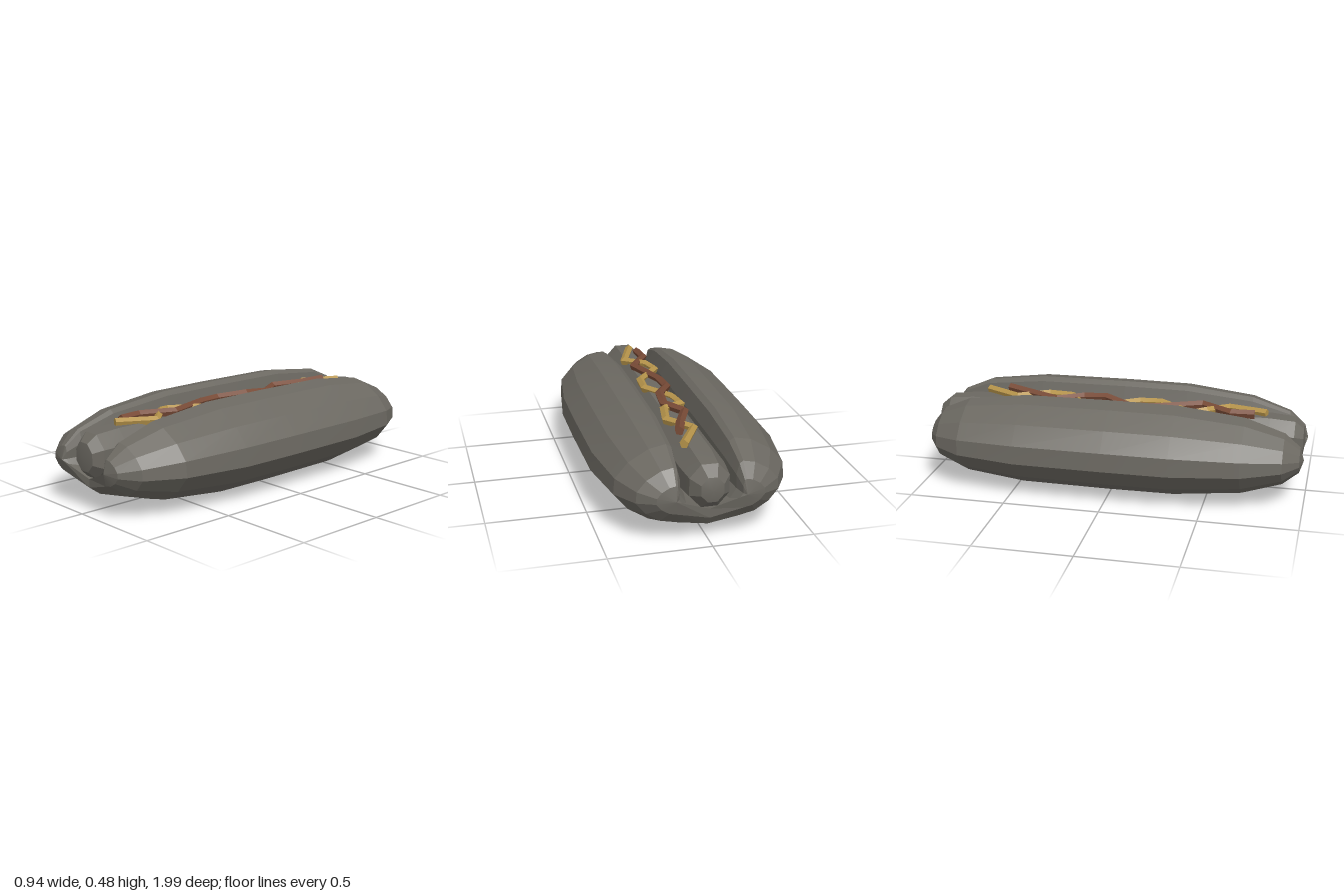
import * as THREE from 'three';
import { toCreasedNormals } from 'three/addons/utils/BufferGeometryUtils.js';

// Skin a list of closed rings (counter-clockwise seen from +z, running towards +z)
function loft(rings, crease) {
  const n = rings[0].length;
  const index = [];
  for (let i = 0; i < rings.length - 1; i++) {
    for (let j = 0; j < n; j++) {
      const a = i * n + j, b = i * n + (j + 1) % n;
      index.push(a, b, a + n, b, b + n, a + n);
    }
  }
  const geo = new THREE.BufferGeometry();
  geo.setAttribute('position', new THREE.Float32BufferAttribute(rings.flat(2), 3));
  geo.setIndex(index);
  return toCreasedNormals(geo, crease);
}

// Bun: one half section, mirrored, shrunk towards each lobe's centre at the ends
function bunGeometry() {
  const half = [
    [0.13, 0.005], [0.27, 0.035], [0.39, 0.11], [0.472, 0.21], [0.463, 0.305], [0.385, 0.395],
    [0.265, 0.465], [0.165, 0.485], [0.135, 0.465], [0.11, 0.37], [0.115, 0.25], [0.06, 0.17]
  ];
  const mirrored = half.map(([x, y]) => [-x, y]).reverse();
  const section = [[0, 0.015], ...half, [0, 0.15], ...mirrored];
  const stations = [
    [-0.98, 0], [-0.965, 0.3], [-0.91, 0.58], [-0.77, 0.83], [-0.46, 0.985], [0, 1],
    [0.34, 0.99], [0.69, 0.83], [0.89, 0.56], [0.97, 0.28], [0.99, 0]
  ];
  const rings = stations.map(([z, s]) => section.map(([x, y]) => {
    const cx = 0.17 * Math.sign(x);
    const cy = x === 0 ? 0.17 : 0.24;
    const zz = x === 0 ? THREE.MathUtils.clamp(z, -0.94, 0.95) : z;
    return [cx + (x - cx) * s, cy + (y - cy) * s, zz];
  }));
  return loft(rings, 0.15);
}

// Sausage: eight-sided body with rounded ends
function sausageGeometry() {
  const profile = [
    [-1, 0], [-0.985, 0.06], [-0.93, 0.105], [-0.8, 0.12], [0, 0.122],
    [0.8, 0.12], [0.93, 0.11], [0.975, 0.07], [0.985, 0]
  ];
  const rings = profile.map(([z, r]) => Array.from({ length: 8 }, (_, j) => {
    const a = (j + 0.5) * Math.PI / 4;
    return [r * Math.cos(a), 0.285 + 1.1 * r * Math.sin(a), z];
  }));
  return loft(rings, 0.5);
}

// Sauce: five-sided strand through the corners of a zigzag, closed at both ends
function sauceGeometry(path, radius) {
  const pts = path.map(p => new THREE.Vector3(p[0], p[1], p[2]));
  const last = pts.length - 1;
  const ring = (i, r) => {
    const t = pts[Math.min(i + 1, last)].clone().sub(pts[Math.max(i - 1, 0)]).setY(0).normalize();
    return Array.from({ length: 5 }, (_, j) => {
      const a = Math.PI / 2 + j * Math.PI * 2 / 5;
      const side = r * Math.cos(a);
      return [pts[i].x + t.z * side, pts[i].y + r * Math.sin(a), pts[i].z - t.x * side];
    });
  };
  const rings = pts.map((_, i) => ring(i, radius));
  return loft([ring(0, 0), ...rings, ring(last, 0)], 0.3);
}

export function createModel() {
  const grey = new THREE.MeshStandardMaterial({ color: 0x6b6861 });
  const yellow = new THREE.MeshStandardMaterial({ color: 0xb5934a });
  const brown = new THREE.MeshStandardMaterial({ color: 0x774a36 });
  grey.name = 'bun grey';
  yellow.name = 'mustard yellow';
  brown.name = 'sauce brown';

  const mustardPath = [
    [0.07, 0.42, -0.74], [-0.03, 0.42, -0.55], [0.07, 0.415, -0.4], [0.045, 0.42, -0.26],
    [-0.07, 0.405, -0.17], [-0.05, 0.41, -0.07], [0.06, 0.41, 0.1], [0.055, 0.415, 0.22],
    [-0.07, 0.41, 0.4], [-0.04, 0.42, 0.47], [0.065, 0.41, 0.58], [-0.01, 0.42, 0.78]
  ];
  const brownPath = [
    [0.06, 0.44, -0.62], [0.02, 0.43, -0.49], [-0.045, 0.425, -0.33], [0.03, 0.425, -0.2],
    [0.02, 0.435, -0.07], [-0.055, 0.42, 0.07], [-0.045, 0.42, 0.2], [0.04, 0.425, 0.44],
    [-0.05, 0.42, 0.6], [-0.04, 0.42, 0.72]
  ];

  const group = new THREE.Group();
  group.name = 'hotDog';
  const add = (name, geometry, material) => {
    const mesh = new THREE.Mesh(geometry, material);
    mesh.name = name;
    group.add(mesh);
  };
  add('bun', bunGeometry(), grey);
  add('sausage', sausageGeometry(), grey);
  add('mustard', sauceGeometry(mustardPath, 0.023), yellow);
  add('brownSauce', sauceGeometry(brownPath, 0.024), brown);
  return group;
}
